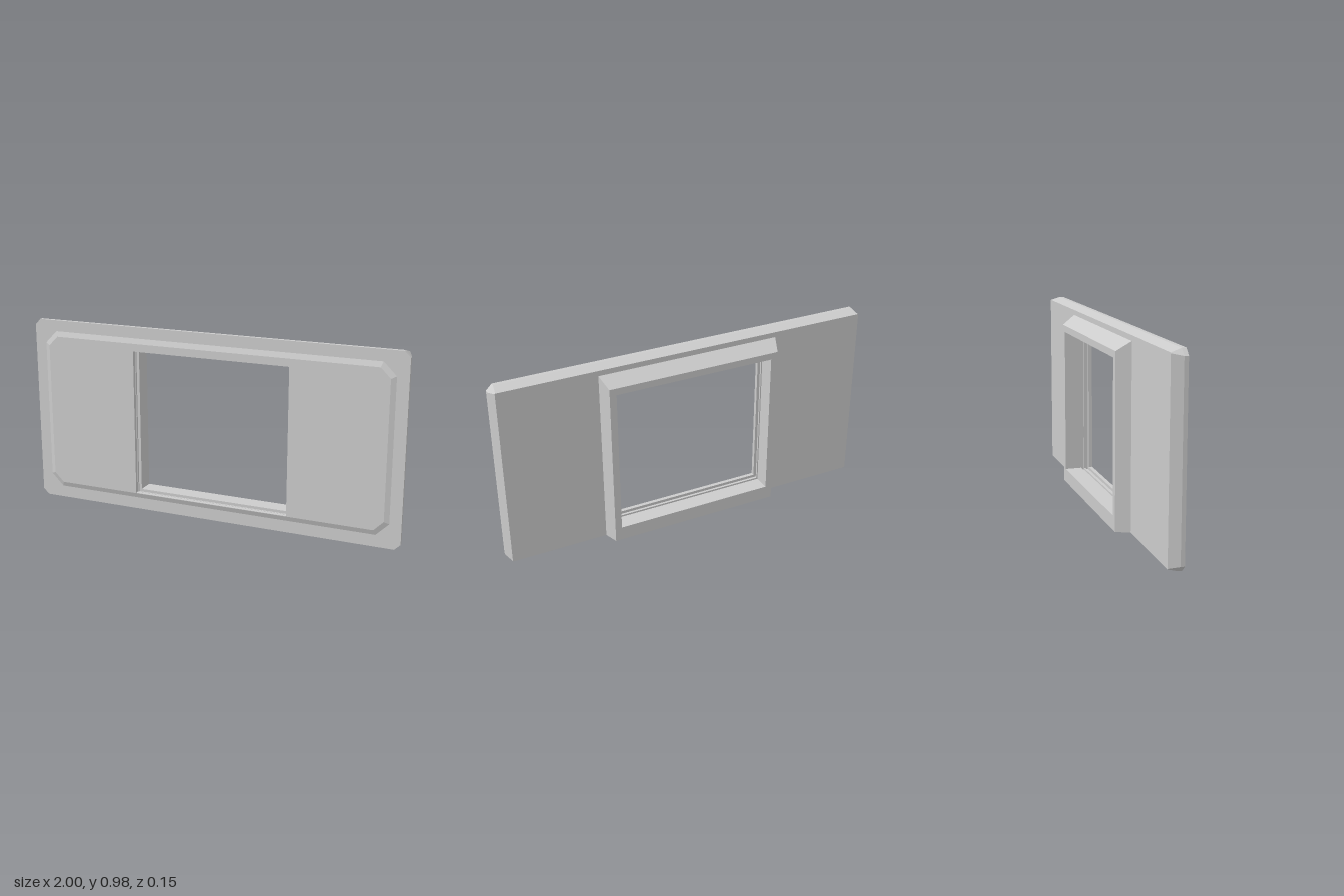
import * as THREE from 'three';

// Rectangle outline with cut corners, counter-clockwise seen from +z
function outline(hw, y0, y1, cut = 0) {
  if (!cut) return [[-hw, y0], [hw, y0], [hw, y1], [-hw, y1]];
  return [
    [-hw + cut, y0], [hw - cut, y0], [hw, y0 + cut], [hw, y1 - cut],
    [hw - cut, y1], [-hw + cut, y1], [-hw, y1 - cut], [-hw, y0 + cut],
  ];
}

// Skin between successive [z, outline] sections: rising z faces outward, falling z inward
function loft(sections) {
  const pos = [];
  for (let s = 0; s < sections.length - 1; s++) {
    const [za, a] = sections[s], [zb, b] = sections[s + 1];
    for (let i = 0; i < a.length; i++) {
      const j = (i + 1) % a.length;
      const p = [...a[i], za], q = [...a[j], za], r = [...b[j], zb], t = [...b[i], zb];
      pos.push(...p, ...q, ...r, ...p, ...r, ...t);
    }
  }
  const g = new THREE.BufferGeometry();
  g.setAttribute('position', new THREE.Float32BufferAttribute(pos, 3));
  g.computeVertexNormals();
  return g;
}

// Flat plate with an opening, at depth z
function plate(outer, hole, z) {
  const toV = (o) => o.map(([x, y]) => new THREE.Vector2(x, y));
  const shape = new THREE.Shape(toV(outer));
  shape.holes.push(new THREE.Path(toV(hole)));
  return new THREE.ShapeGeometry(shape).translate(0, 0, z);
}

export function createModel() {
  const group = new THREE.Group();
  const mat = new THREE.MeshStandardMaterial({ color: 0xcccccc, flatShading: true });
  const backMat = mat.clone();
  backMat.side = THREE.BackSide;
  const add = (name, geometry, material = mat) => {
    const mesh = new THREE.Mesh(geometry, material);
    mesh.name = name;
    group.add(mesh);
  };

  const zBack = -0.075, zWall = -0.005, zRim = 0.067, zFront = 0.077;
  const opening = outline(0.42, 0.09, 0.855);
  const slabBack = outline(0.98, 0.017, 0.964, 0.003);
  const slabFront = outline(1, 0, 0.98, 0.03);
  const panelBase = outline(0.94, 0.062, 0.922, 0.065);
  const panelTop = outline(0.915, 0.088, 0.895, 0.05);
  const frameBase = outline(0.48, 0.017, 0.937);
  const frameBack = outline(0.455, 0.017, 0.89);

  // Slab with bevelled edge
  add('slabEdge', loft([[zWall, slabBack], [0.047, slabFront], [zRim, slabFront]]));
  add('slabBack', plate(slabBack, frameBase, zWall), backMat);
  add('frontRim', plate(slabFront, panelBase, zRim));

  // Raised front panel
  add('panelBevel', loft([[zRim, panelBase], [zFront, panelTop]]));
  add('panelFace', plate(panelTop, opening, zFront));

  // Window surround standing out at the back
  add('surroundSides', loft([[zBack, frameBack], [zWall, frameBase]]));
  add('surroundFace', plate(frameBack, opening, zBack), backMat);

  // Opening lined with two sliding tracks on the sides and sill
  const track = outline(0.435, 0.075, 0.855);
  const rib = outline(0.426, 0.084, 0.855);
  add('windowLining', loft([
    [zFront, opening], [0.057, opening],
    [0.057, track], [0.04, track],
    [0.04, rib], [0.032, rib],
    [0.032, track], [0.012, track],
    [0.012, opening], [zBack, opening],
  ]));

  return group;
}
